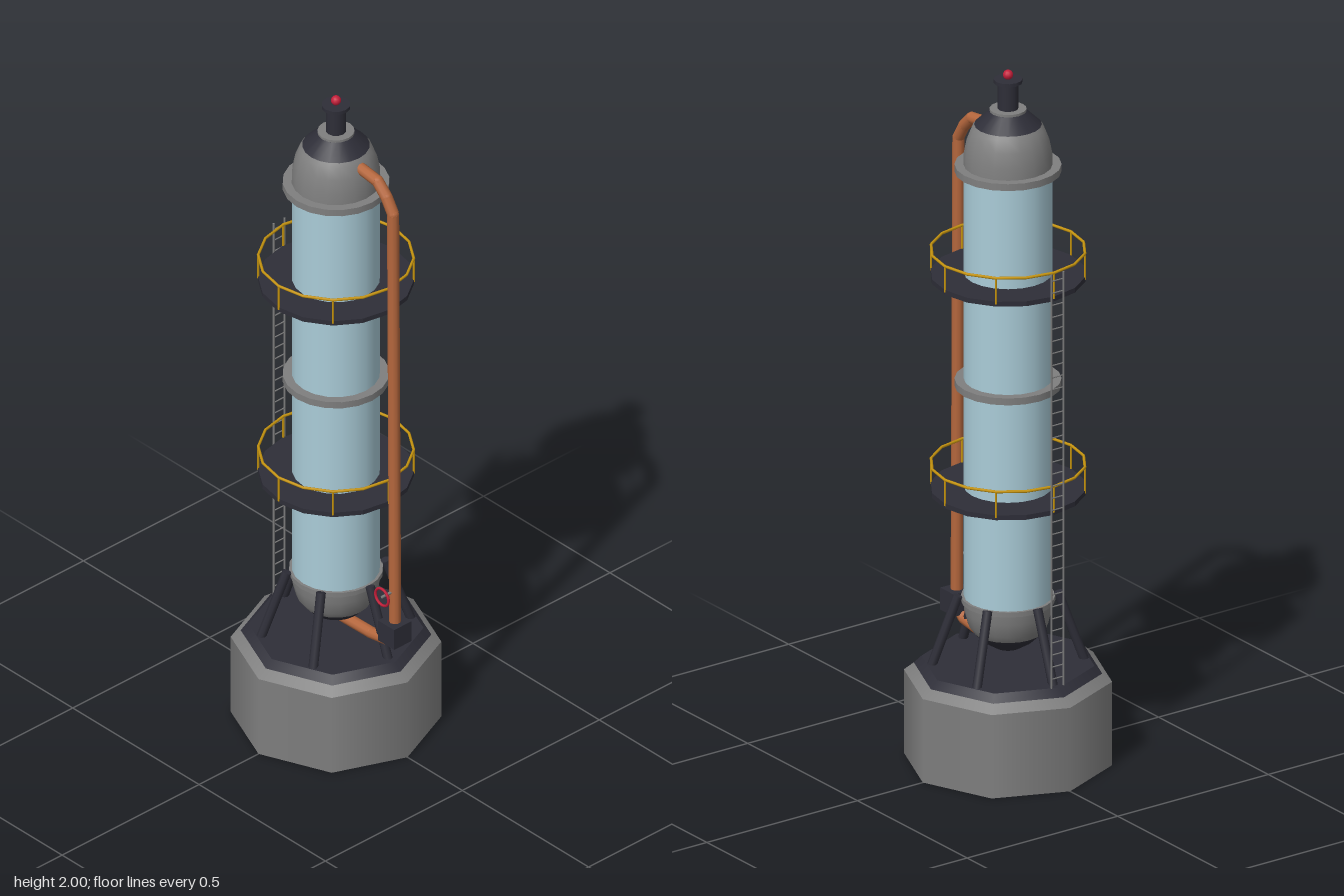
import * as THREE from 'three';

const mat = (name, color) => Object.assign(new THREE.MeshStandardMaterial({ color }), { name });

export function createModel() {
  const grey = mat('steelGrey', 0x7f7f7f);
  const dark = mat('darkMetal', 0x2e2e38);
  const blue = mat('paleBlueShell', 0xaaccd8);
  const copper = mat('copperPipe', 0xb5673d);
  const yellow = mat('safetyYellow', 0xc8960f);
  const red = mat('signalRed', 0xc41e3a);

  const model = new THREE.Group();
  model.name = 'processColumn';

  const add = (name, geometry, material, parent = model) => {
    const mesh = new THREE.Mesh(geometry, material);
    mesh.name = name;
    parent.add(mesh);
    return mesh;
  };
  const group = (name) => {
    const g = new THREE.Group();
    g.name = name;
    model.add(g);
    return g;
  };
  // Upright cylinder or frustum between two heights
  const drum = (name, rBottom, rTop, y0, y1, sides, material, parent) => {
    const mesh = add(name, new THREE.CylinderGeometry(rTop, rBottom, y1 - y0, sides), material, parent);
    mesh.position.y = (y0 + y1) / 2;
    return mesh;
  };
  // Round bar between two points
  const rod = (name, a, b, radius, sides, material, parent) => {
    const p = new THREE.Vector3(...a), q = new THREE.Vector3(...b);
    const dir = q.clone().sub(p);
    const mesh = add(name, new THREE.CylinderGeometry(radius, radius, dir.length(), sides), material, parent);
    mesh.position.copy(p).add(q).multiplyScalar(0.5);
    mesh.quaternion.setFromUnitVectors(new THREE.Vector3(0, 1, 0), dir.normalize());
    return mesh;
  };
  const lathe = (name, profile, material) =>
    add(name, new THREE.LatheGeometry(profile.map(([r, y]) => new THREE.Vector2(r, y)), 20), material);
  const polar = (r, angle, y) => [r * Math.cos(angle), y, r * Math.sin(angle)];

  // Octagonal foundation
  drum('foundation', 0.283, 0.283, 0, 0.242, 8, grey);
  drum('foundationBevel', 0.283, 0.256, 0.242, 0.264, 8, grey);
  drum('basePlate', 0.256, 0.235, 0.264, 0.285, 8, dark);

  // Six splayed legs
  const legs = group('legs');
  for (let i = 0; i < 6; i++) {
    const a = i * Math.PI / 3;
    rod('leg', polar(0.208, a, 0.275), polar(0.135, a, 0.48), 0.013, 8, dark, legs);
  }

  // Vessel, from the bottom cone to the beacon
  lathe('bottomCone', [[0, 0.325], [0.035, 0.328], [0.07, 0.35], [0.095, 0.375]], dark);
  lathe('bottomHead', [[0.09, 0.37], [0.108, 0.395], [0.118, 0.435], [0.12, 0.47]], grey);
  drum('bottomRing', 0.127, 0.127, 0.462, 0.476, 20, grey);
  drum('shell', 0.119, 0.119, 0.47, 1.72, 20, blue);
  for (const y of [1.095, 1.717]) drum('flange', 0.144, 0.144, y - 0.01, y + 0.01, 20, grey);
  lathe('topHead', [[0.12, 1.72], [0.119, 1.76], [0.111, 1.80], [0.098, 1.833], [0.08, 1.852]], grey);
  drum('topCone', 0.091, 0.05, 1.843, 1.882, 20, dark);
  drum('stackFlange', 0.05, 0.05, 1.882, 1.889, 16, grey);
  drum('ventStack', 0.028, 0.028, 1.885, 1.966, 12, dark);
  drum('ventCap', 0.039, 0.039, 1.964, 1.974, 12, dark);
  add('beacon', new THREE.SphereGeometry(0.014, 12, 8), red).position.y = 1.986;

  // Ring walkways with guard rails
  for (const y of [0.785, 1.405]) {
    const platform = group('walkway');
    const outline = new THREE.Shape();
    const hole = new THREE.Path();
    for (let i = 0; i < 16; i++) {
      const [x, , z] = polar(1, i * Math.PI / 8, 0);
      outline[i ? 'lineTo' : 'moveTo'](x * 0.21, z * 0.21);
      hole[i ? 'lineTo' : 'moveTo'](x * 0.115, z * 0.115);
    }
    outline.holes.push(hole);
    const deck = add('deck', new THREE.ExtrudeGeometry(outline, { depth: 0.014, bevelEnabled: false }), dark, platform);
    deck.rotation.x = -Math.PI / 2;
    deck.position.y = y - 0.007;
    drum('deckCollar', 0.144, 0.144, y - 0.011, y + 0.004, 20, grey, platform);
    const rail = add('handRail', new THREE.TorusGeometry(0.209, 0.004, 6, 16), yellow, platform);
    rail.rotation.x = Math.PI / 2;
    rail.position.y = y + 0.075;
    for (let i = 0; i < 8; i++) {
      const a = i * Math.PI / 4;
      rod('railPost', polar(0.209, a, y), polar(0.209, a, y + 0.075), 0.003, 6, yellow, platform);
    }
  }

  // Access ladder
  const ladder = group('ladder');
  for (const z of [-0.02, 0.02]) rod('ladderRail', [-0.225, 0.28, z], [-0.225, 1.485, z], 0.003, 6, grey, ladder);
  for (let y = 0.31; y < 1.48; y += 0.035) {
    rod('rung', [-0.225, y, -0.02], [-0.225, y, 0.02], 0.002, 5, grey, ladder);
  }

  // Overhead pipe and its return to the vessel bottom
  const piping = group('piping');
  const runs = [
    [[0.08, 1.817, 0], [0.165, 1.806, 0], [0.2, 1.772, 0], [0.226, 1.73, 0], [0.234, 0.385, 0]],
    [[0.234, 0.37, 0], [0.2, 0.342, 0], [0.14, 0.333, 0], [0.01, 0.331, 0]],
  ];
  for (const run of runs) {
    for (let i = 1; i < run.length; i++) {
      rod('pipe', run[i - 1], run[i], 0.0165, 10, copper, piping);
      if (i < run.length - 1) {
        add('pipeElbow', new THREE.SphereGeometry(0.0165, 10, 8), copper, piping).position.set(...run[i]);
      }
    }
  }

  // Valve block and hand wheel
  add('valveBlock', new THREE.BoxGeometry(0.064, 0.064, 0.064), dark).position.set(0.233, 0.385, 0);
  rod('valveStem', [0.233, 0.515, 0], [0.233, 0.515, 0.048], 0.004, 8, grey);
  add('handWheel', new THREE.TorusGeometry(0.026, 0.004, 6, 16), red).position.set(0.233, 0.515, 0.047);

  return model;
}
